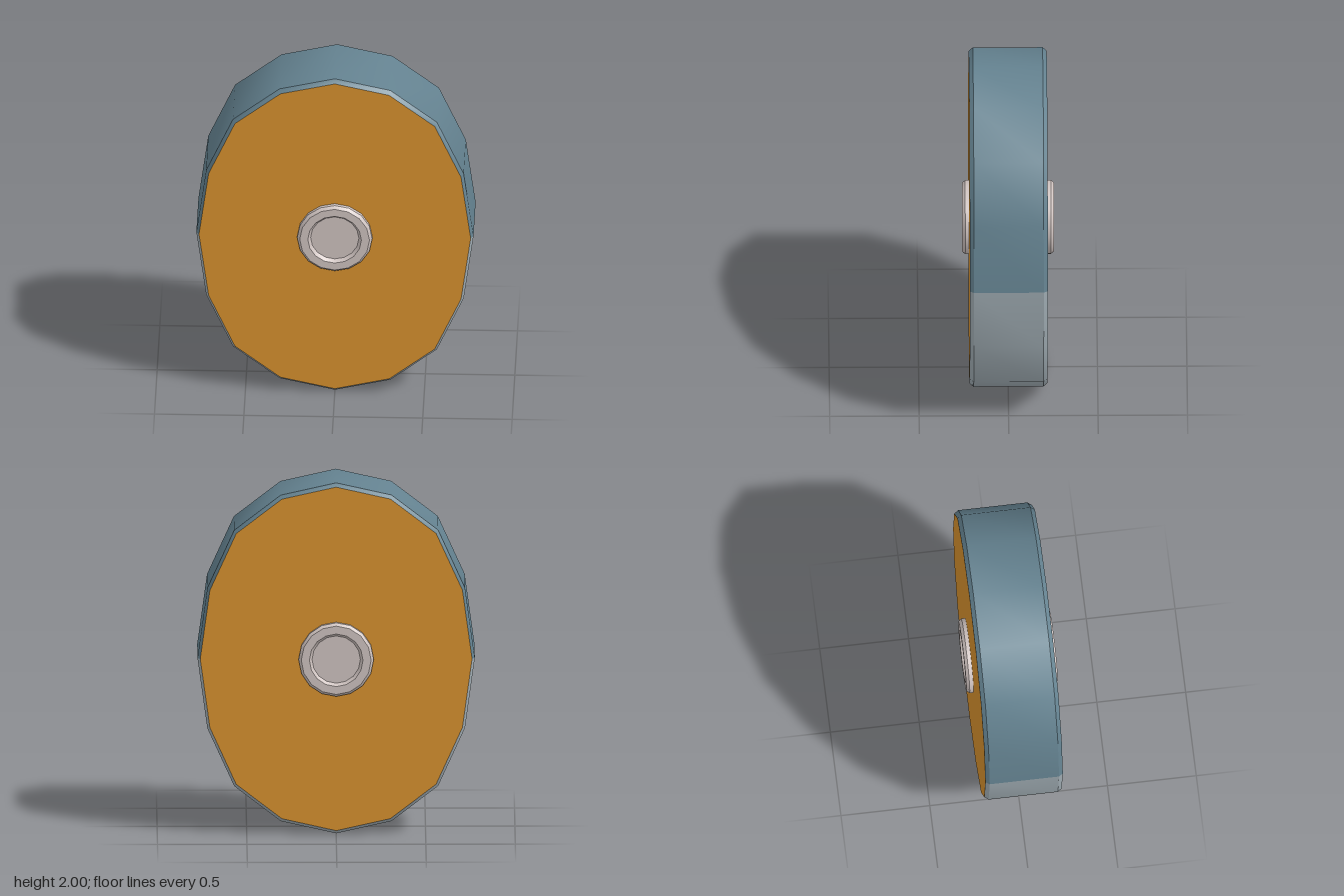
import * as THREE from 'three';
import { toCreasedNormals } from 'three/addons/utils/BufferGeometryUtils.js';

const CENTRE_Y = 1;

// One quarter of the sixteen-sided oval outline, from the side to the top.
const quarter = [[0.775, 0], [0.72, 0.4], [0.57, 0.73], [0.31, 0.93], [0, 1]];

// Rim cross-section from back to front: outline scale, z.
const section = [[0.98, -0.218], [1, -0.195], [1, 0.195], [0.98, 0.218]];

const material = (name, color) => {
  const m = new THREE.MeshStandardMaterial({ color });
  m.name = name;
  return m;
};

// Half outline, running counterclockwise; sign -1 gives the lower half.
function halfOutline(sign) {
  const mirrored = quarter.slice(0, -1).reverse().map(([x, y]) => [-x, y]);
  return [...quarter, ...mirrored].map(([x, y]) => [x * sign, y * sign]);
}

// Bevelled band swept along half of the outline.
function rimGeometry(sign) {
  const outline = halfOutline(sign);
  const n = section.length;
  const positions = [];
  const indices = [];
  for (const [x, y] of outline) {
    for (const [s, z] of section) positions.push(x * s, y * s, z);
  }
  for (let i = 0; i < outline.length - 1; i++) {
    for (let j = 0; j < n - 1; j++) {
      const a = i * n + j;
      const b = a + n;
      indices.push(a, b, b + 1, a, b + 1, a + 1);
    }
  }
  const geometry = new THREE.BufferGeometry();
  geometry.setAttribute('position', new THREE.Float32BufferAttribute(positions, 3));
  geometry.setIndex(indices);
  return toCreasedNormals(geometry, 0.55);
}

export function createModel() {
  const model = new THREE.Group();
  model.name = 'ovalDisc';

  const orange = material('orange', 0xd9922e);
  const slate = material('slateBlue', 0x648290);
  const grey = material('paleGrey', 0xa6b3ba);
  const stone = material('warmStone', 0xd0c4c1);

  const add = (name, geometry, mat) => {
    const mesh = new THREE.Mesh(geometry, mat);
    mesh.name = name;
    mesh.position.y = CENTRE_Y;
    model.add(mesh);
    return mesh;
  };

  // Two-tone outer rim
  add('upperRim', rimGeometry(1), slate);
  add('lowerRim', rimGeometry(-1), grey);

  // Flat oval faces
  const edge = [...halfOutline(1).slice(0, -1), ...halfOutline(-1).slice(0, -1)];
  const shape = new THREE.Shape(edge.map(([x, y]) => new THREE.Vector2(x * 0.98, y * 0.98)));
  const face = new THREE.ShapeGeometry(shape);
  face.translate(0, 0, 0.218);
  add('frontFace', face, orange);
  add('backFace', face, orange).rotation.y = Math.PI;

  // Central hub with a shallow dish at each end
  const front = [[0.21, 0.24], [0.195, 0.257], [0.15, 0.257], [0.135, 0.236], [0, 0.236]];
  const back = front.map(([r, z]) => [r, -z]).reverse();
  const profile = [...back, ...front].map(([r, z]) => new THREE.Vector2(r, z));
  const hub = new THREE.LatheGeometry(profile, 16);
  hub.rotateX(Math.PI / 2);
  add('hub', toCreasedNormals(hub, 0.6), stone);

  return model;
}
